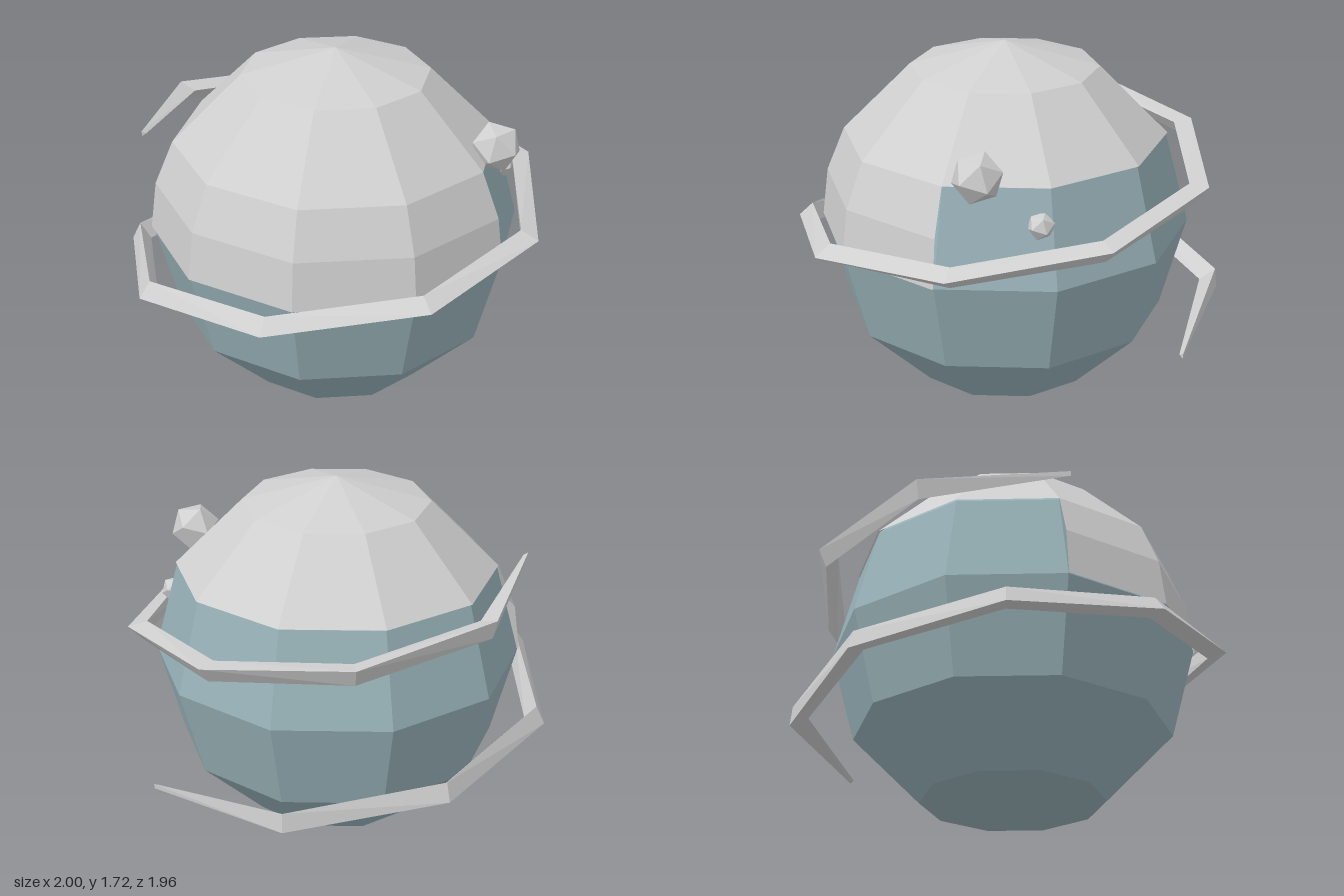
import * as THREE from 'three';

const CENTRE = [-0.01, 0.857, 0.03];
const rad = THREE.MathUtils.degToRad;

export function createModel() {
  const root = new THREE.Group();
  root.name = 'ringedPlanet';

  const mat = (name, color, side = THREE.FrontSide) => {
    const m = new THREE.MeshStandardMaterial({ color, flatShading: true, side });
    m.name = name;
    return m;
  };
  const teal = mat('paleTeal', 0x97b1b7);
  const grey = mat('lightGrey', 0xcfcfcf, THREE.DoubleSide);

  const add = (name, geometry, material, position = [0, 0, 0]) => {
    const mesh = new THREE.Mesh(geometry, material);
    mesh.name = name;
    mesh.position.set(...position);
    root.add(mesh);
    return mesh;
  };

  // Planet body, with a thin shell over the top and one side
  add('planetBody', new THREE.SphereGeometry(0.855, 10, 6), teal, CENTRE);
  add('topShell', new THREE.SphereGeometry(0.863, 10, 2, 0, Math.PI * 2, 0, rad(60)), grey, CENTRE);
  add('sideShell', new THREE.SphereGeometry(0.863, 4, 1, rad(-36), rad(144), rad(60), rad(30)), grey, CENTRE);

  // Two small moons
  const moon = (name, radius, position) => {
    add(name, new THREE.IcosahedronGeometry(radius), grey, position).rotation.x = 0.5536;
  };
  moon('largeMoon', 0.116, [0.365, 1.345, 0.68]);
  moon('smallMoon', 0.062, [0.58, 1.13, 0.52]);

  // Spiral ring: a three-sided bar that twists as it climbs and tapers at both ends
  add('spiralRing', spiralBar([
    [1.0, 0.43, 0.02], [0.75, 0.46, -0.66], [0.09, 0.545, -0.98], [-0.61, 0.63, -0.79],
    [-0.995, 0.71, -0.185], [-0.88, 0.8, 0.53], [-0.315, 0.89, 0.98], [0.395, 0.96, 0.935],
    [0.885, 1.055, 0.42], [0.91, 1.135, -0.28], [0.47, 1.22, -0.81], [-0.2, 1.305, -0.9],
    [-0.73, 1.35, -0.48],
  ], 0.092), grey);

  return root;
}

// Loft an equilateral section along its outer corner points
function spiralBar(path, size) {
  const last = path.length - 1;
  const positions = [];
  const index = [];
  path.forEach(([x, y, z], i) => {
    const s = i === 0 || i === last ? size * 0.25 : size;
    const r = Math.hypot(x, z);
    const upper = rad(94 - 10 * i);
    positions.push(x, y, z);
    for (const a of [upper - Math.PI / 3, upper]) {
      const inward = s * Math.cos(a);
      positions.push(x - (x / r) * inward, y + s * Math.sin(a), z - (z / r) * inward);
    }
  });
  for (let i = 0; i < last; i++) {
    for (let k = 0; k < 3; k++) {
      const a = i * 3 + k;
      const b = i * 3 + ((k + 1) % 3);
      index.push(a, b, b + 3, a, b + 3, a + 3);
    }
  }
  index.push(0, 2, 1, last * 3, last * 3 + 1, last * 3 + 2);
  const indexed = new THREE.BufferGeometry();
  indexed.setAttribute('position', new THREE.Float32BufferAttribute(positions, 3));
  indexed.setIndex(index);
  const geometry = indexed.toNonIndexed();
  geometry.computeVertexNormals();
  return geometry;
}
